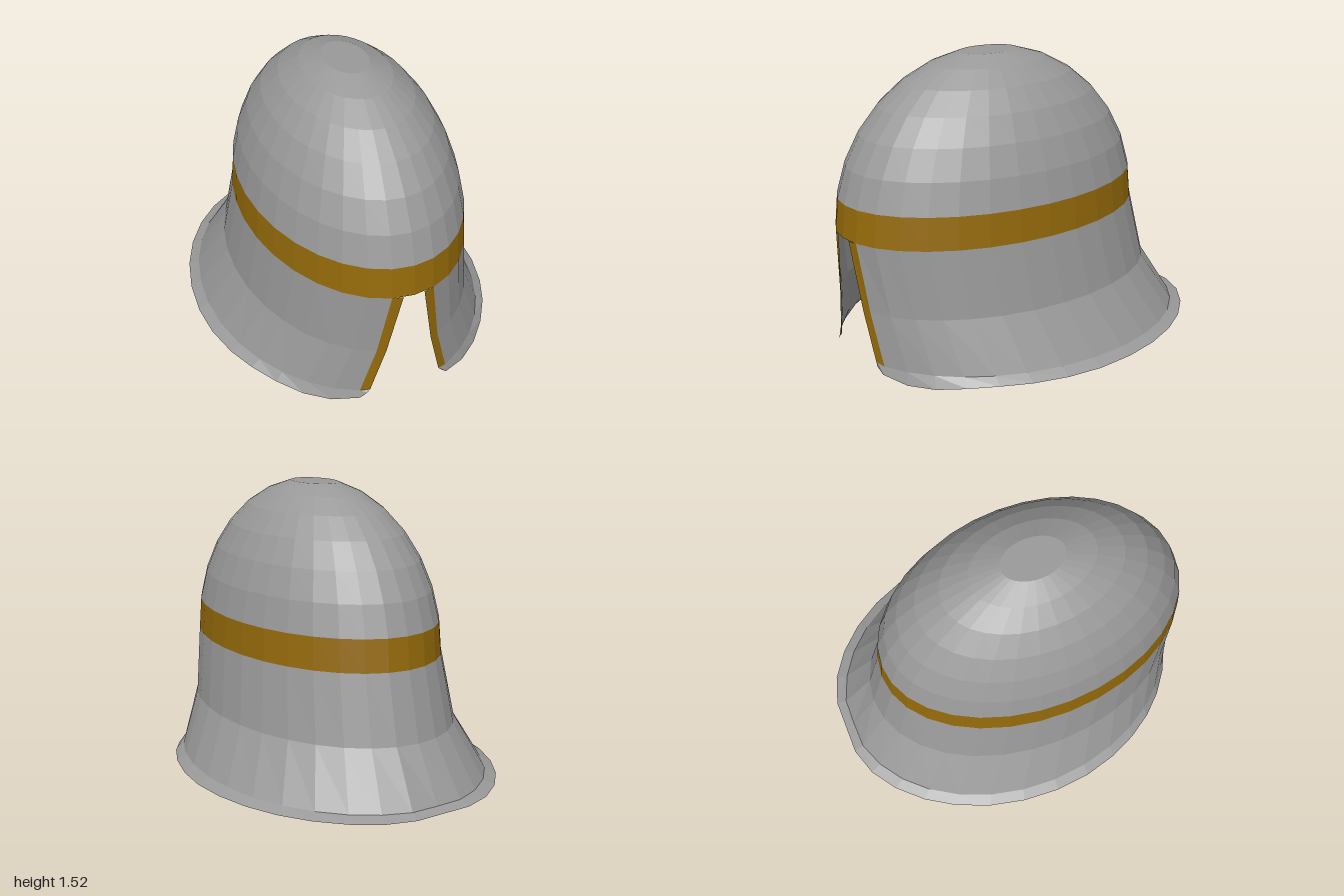
import * as THREE from 'three';

const steel = new THREE.MeshStandardMaterial({ color: 0x999999, side: THREE.DoubleSide });
steel.name = 'steel';
const bronze = new THREE.MeshStandardMaterial({ color: 0x946a0a, side: THREE.DoubleSide });
bronze.name = 'bronze';

const COLS = 32;
const STEP = (Math.PI * 2) / COLS;

// Faceted sheet over a grid of points; rows run downwards, columns run from the front towards +x
function sheet(name, material, point, row0, row1, col0, col1) {
  const pos = [];
  for (let r = row0; r < row1; r++) {
    for (let c = col0; c < col1; c++) {
      const a = point(r, c), b = point(r + 1, c), d = point(r + 1, c + 1), e = point(r, c + 1);
      pos.push(...a, ...b, ...d);
      if (r > 0 || point !== domePoint) pos.push(...a, ...d, ...e);
    }
  }
  const geo = new THREE.BufferGeometry();
  geo.setAttribute('position', new THREE.Float32BufferAttribute(pos, 3));
  geo.computeVertexNormals();
  const mesh = new THREE.Mesh(geo, material);
  mesh.name = name;
  return mesh;
}

// Upper half of an ellipsoid with a flattened crown
function domePoint(r, c) {
  const t = r * STEP, a = c * STEP;
  return [
    0.555 * Math.sin(t) * Math.sin(a),
    0.69 + 0.85 * Math.cos(Math.max(t, STEP)),
    0.14 + 0.85 * Math.sin(t) * Math.cos(a),
  ];
}

// Skirt rings: height, half width, half depth, centre z, rear limit,
// angle of the face opening and widening of the columns beside it
const rings = [
  { y: 0.69, rx: 0.555, rz: 0.85, cz: 0.14, back: -0.71, open: 0.098, shift: 0 },
  { y: 0.34, rx: 0.605, rz: 0.885, cz: 0.09, back: -0.8, open: 0.2, shift: 0.08 },
  { y: 0.07, rx: 0.745, rz: 0.965, cz: 0, back: -0.95, open: 0.258, shift: 0.13 },
  { y: 0.035, rx: 0.8, rz: 0.97, cz: 0, back: -1, open: 0.262, shift: 0.11 },
];
const lipHeights = [0.065, 0.03, 0.007, 0.009, 0.025];

function skirtPoint(r, c) {
  const side = c > COLS / 2 ? -1 : 1;
  const j = side < 0 ? COLS - c : c;
  const ring = rings[r];
  const a = j === 0 ? ring.open : j * STEP + ring.shift * Math.max(0, 1 - (j - 1) / 5);
  const cos = Math.cos(a);
  let y = ring.y;
  if (r === 2 && j === 0) y = 0.08;
  if (r === 3) y = lipHeights[j] ?? 0.035 + 0.015 * Math.max(0, -cos);
  const depth = r === 3 && cos < 0 ? 1.03 : ring.rz;
  return [side * ring.rx * Math.sin(a), y, Math.max(ring.back, ring.cz + depth * cos)];
}

export function createModel() {
  const helmet = new THREE.Group();
  helmet.name = 'helmet';
  helmet.add(
    sheet('dome', steel, domePoint, 0, 7, 0, COLS),
    sheet('browBand', bronze, domePoint, 7, 8, 0, COLS),
    sheet('neckGuard', steel, skirtPoint, 0, 2, 1, COLS - 1),
    sheet('flaredLip', steel, skirtPoint, 2, 3, 0, COLS),
    sheet('leftOpeningTrim', bronze, skirtPoint, 0, 2, 0, 1),
    sheet('rightOpeningTrim', bronze, skirtPoint, 0, 2, COLS - 1, COLS),
  );
  return helmet;
}
